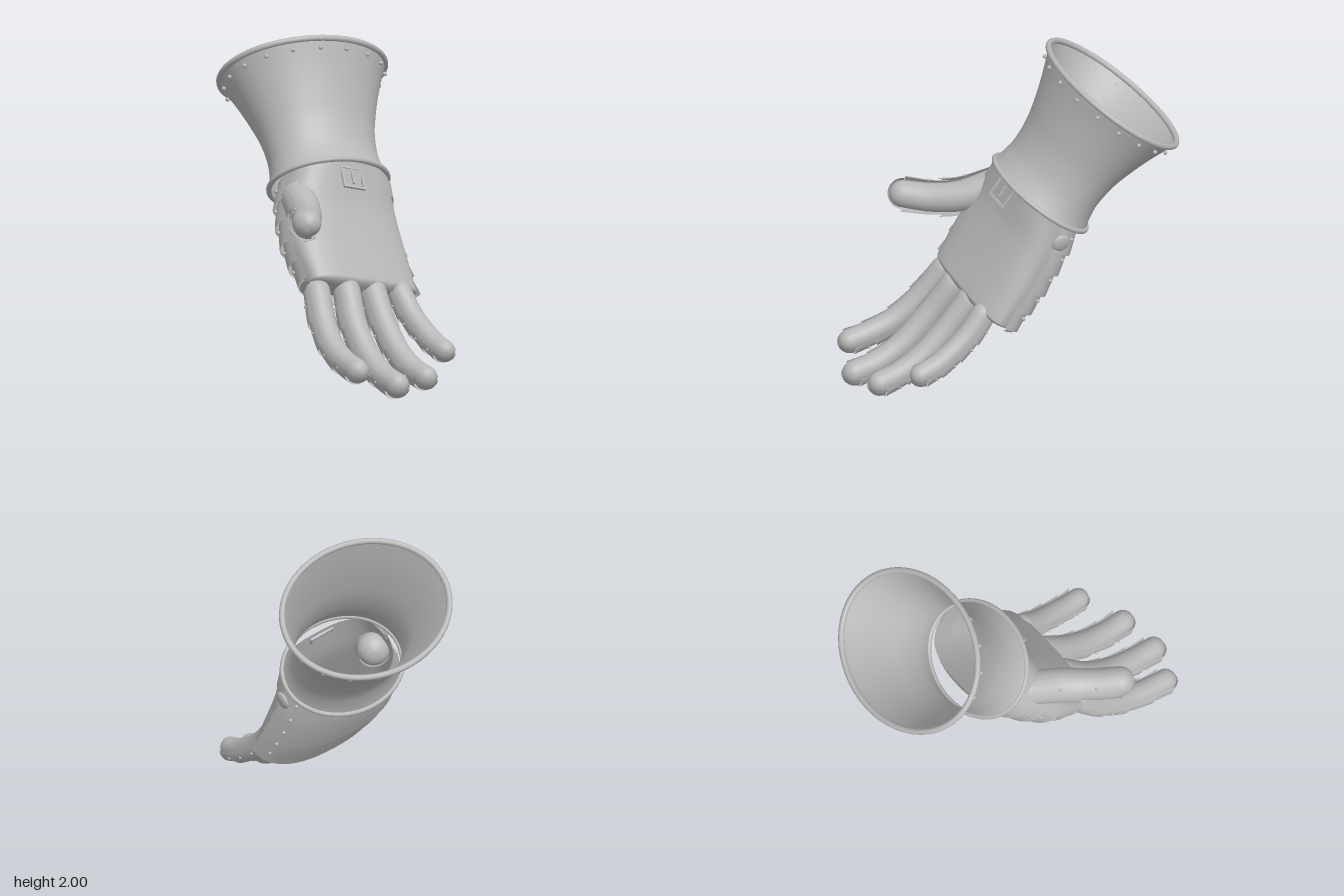
import * as THREE from 'three';

const V = (x, y, z) => new THREE.Vector3(x, y, z);
const steel = new THREE.MeshStandardMaterial({ name: 'steel', color: 0xb8b8b8, side: THREE.DoubleSide });

// Shared directions: up the forearm, out of the palm, and across the hand
const UP = V(-0.53, 0.81, -0.25).normalize();
const PALM = V(0.84, 0.545, 0).normalize();
const SIDE = V(-0.16, 0.2, 0.96).normalize();

// Smooth surface from a rule fn(u, v), both 0..1; closed joins the v ends
function surface(rows, cols, closed, fn) {
  const pos = [], idx = [], n = closed ? cols : cols + 1;
  for (let i = 0; i <= rows; i++)
    for (let j = 0; j < n; j++) pos.push(...fn(i / rows, j / cols).toArray());
  for (let i = 0; i < rows; i++)
    for (let j = 0; j < cols; j++) {
      const a = i * n + j, b = i * n + (j + 1) % n;
      idx.push(a, b, a + n, b, b + n, a + n);
    }
  const g = new THREE.BufferGeometry();
  g.setAttribute('position', new THREE.Float32BufferAttribute(pos, 3));
  g.setIndex(idx);
  g.computeVertexNormals();
  return g;
}

function add(parent, name, geometry) {
  const m = new THREE.Mesh(geometry, steel);
  m.name = name;
  parent.add(m);
  return m;
}

function rivet(parent, p, r) {
  add(parent, 'rivet', new THREE.SphereGeometry(r, 10, 8)).position.copy(p);
}

function group(parent, name) {
  const g = new THREE.Group();
  g.name = name;
  parent.add(g);
  return g;
}

// Smooth interpolation through rows of three values
function profile(rows) {
  const c = new THREE.CatmullRomCurve3(rows.map(r => V(...r)));
  return f => c.getPoint(f);
}

// Flared forearm cuff with rolled rims and a row of rivets
const WRIST = V(-0.155, 1.13, -0.03);
const cuffProfile = profile([[0, 0.375, 0.305], [0.06, 0.36, 0.285], [0.15, 0.352, 0.268], [0.3, 0.365, 0.28],
  [0.45, 0.405, 0.32], [0.6, 0.46, 0.37], [0.738, 0.523, 0.425]]);
function cuffPoint(f, v, grow = 0) {
  const s = cuffProfile(f), a = v * Math.PI * 2;
  return WRIST.clone().addScaledVector(UP, s.x)
    .addScaledVector(SIDE, (s.y + grow) * Math.cos(a))
    .addScaledVector(PALM, (s.z + grow) * Math.sin(a));
}
function buildCuff(root) {
  const g = group(root, 'cuff');
  add(g, 'cuffShell', surface(36, 64, true, (u, v) => cuffPoint(u, v)));
  for (const [name, f, r] of [['upperRim', 1, 0.018], ['wristRim', 0, 0.016]]) {
    const pts = Array.from({ length: 40 }, (_, i) => cuffPoint(f, i / 40));
    add(g, name, new THREE.TubeGeometry(new THREE.CatmullRomCurve3(pts, true), 96, r, 10, true));
  }
  for (let i = 0; i < 18; i++) rivet(g, cuffPoint(0.93, (i + 0.5) / 18, 0.011), 0.013);
}

// Hand body cross-sections, from wrist (f = 0) to knuckles (f = 1)
const handCenter = profile([[-0.13, 1.15, -0.04], [-0.03, 0.95, 0.02], [0.1, 0.75, 0.07], [0.24, 0.57, 0.1]]);
// half width, palm depth, depth of the plates on the back
const handSize = profile([[0.335, 0.22, 0.225], [0.38, 0.175, 0.22], [0.4, 0.145, 0.21], [0.385, 0.11, 0.185]]);
const soft = (x, p) => Math.sign(x) * Math.pow(Math.abs(x), p);
function handPoint(f, a, { back = false, grow = 0, shrink = 1 } = {}) {
  const s = handSize(f), p = back ? 0.85 : 0.7;
  return handCenter(f)
    .addScaledVector(SIDE, (s.x + grow) * shrink * soft(Math.cos(a), p))
    .addScaledVector(PALM, ((back ? s.z : s.y) + grow) * shrink * soft(Math.sin(a), p));
}
function buildHand(root) {
  const g = group(root, 'hand');
  // The last third of the rows rounds the palm over at the knuckles
  add(g, 'palm', surface(36, 56, true, (u, v) => {
    const q = Math.max(0, (u - 2 / 3) * 3) * Math.PI / 2;
    return handPoint(Math.min(1, u * 1.5), v * Math.PI * 2, { shrink: Math.max(Math.cos(q), 0.001) })
      .addScaledVector(UP, -0.05 * Math.sin(q));
  }));

  // Overlapping plates down the back of the hand
  const count = 5;
  for (let i = 0; i < count; i++) {
    const f0 = i / count * 0.96, f1 = Math.min(f0 + 0.24, 1);
    add(g, 'backPlate', surface(5, 36, false, (u, v) =>
      handPoint(f0 + (f1 - f0) * u, Math.PI * (0.98 + 1.04 * v), { back: true, grow: 0.008 + 0.03 * u })));
    for (const a of [1.1, 1.9])
      rivet(g, handPoint(f0 + 0.1, Math.PI * a, { back: true, grow: 0.026 }), 0.012);
  }
  // Rolled knuckle plate
  add(g, 'knucklePlate', surface(8, 36, false, (u, v) =>
    handPoint(1, Math.PI * (1 + v), { back: true, grow: 0.03 - 0.04 * u * u }).addScaledVector(UP, -0.03 * u)));

  // Wrist strap and buckle across the palm side
  add(g, 'strap', surface(3, 40, false, (u, v) =>
    handPoint(0.07 + 0.13 * u, Math.PI * (-0.04 + 1.08 * v), { grow: 0.009 })));
  const buckle = group(g, 'buckle');
  const rect = (w, h) => [[-w, -h], [w, -h], [w, h], [-w, h]].map(p => new THREE.Vector2(...p));
  const frame = new THREE.Shape(rect(0.08, 0.07));
  frame.holes.push(new THREE.Path(rect(0.067, 0.057)));
  add(buckle, 'buckleFrame', new THREE.ExtrudeGeometry(frame, { depth: 0.014, bevelEnabled: false }));
  add(buckle, 'bucklePin', new THREE.BoxGeometry(0.012, 0.1, 0.012)).position.set(0, 0.012, 0.01);
  buckle.position.copy(handPoint(0.135, Math.PI * 0.49, { grow: 0.008 }));
  const across = SIDE.clone().negate();
  const up = V(0, 0, 0).crossVectors(PALM, across).normalize();
  across.crossVectors(up, PALM);
  buckle.setRotationFromMatrix(new THREE.Matrix4().makeBasis(across, up, PALM));

  // Domed boss on the outer side of the strap
  const boss = add(g, 'strapBoss', new THREE.SphereGeometry(0.055, 20, 10));
  boss.position.copy(handPoint(0.15, Math.PI, { grow: 0.035 }));
  boss.scale.set(1, 1, 0.35);
  boss.quaternion.setFromUnitVectors(V(0, 0, 1), SIDE);
}

// A digit: a round-ended tapering tube with overlapping half plates on its back
function buildDigit(root, name, points, r, taper, backDir, plates) {
  const g = group(root, name);
  const curve = new THREE.CatmullRomCurve3(points.map(p => V(...p)));
  const length = curve.getLength();
  const ring = (u, a, scale) => {
    const c = THREE.MathUtils.clamp(u, 0, 1), t = curve.getTangentAt(c);
    const b = backDir.clone().addScaledVector(t, -backDir.dot(t)).normalize();
    const s = V(0, 0, 0).crossVectors(t, b);
    const rad = r * (1 + taper * (1 - c)) * scale;
    return curve.getPointAt(c).addScaledVector(t, (u - c) * length)
      .addScaledVector(b, rad * Math.cos(a)).addScaledVector(s, rad * Math.sin(a));
  };
  const cap = r / length;
  add(g, 'tube', surface(44, 24, true, (u, v) => {
    // the first and last eighths are the round ends
    const e = u < 0.125 ? 1 - u / 0.125 : u > 0.875 ? (u - 0.875) / 0.125 : 0;
    const q = e * Math.PI / 2;
    const along = u < 0.125 ? -cap * Math.sin(q) : u > 0.875 ? 1 + cap * Math.sin(q) : (u - 0.125) / 0.75;
    return ring(along, v * Math.PI * 2, Math.max(Math.cos(q), 0.005));
  }));
  for (let k = 0; k < plates; k++) {
    const last = k === plates - 1;
    const u0 = k / plates, u1 = last ? 1 : u0 + 1.18 / plates;
    add(g, 'plate', surface(5, 20, false, (u, v) => {
      const w = 2 * v - 1;
      return ring(u0 + (u1 - u0) * u + (last ? 0 : 0.04 * u * w * w), w * 1.75, 1.12 + 0.2 * u);
    }));
    for (const a of [-1.15, 1.15]) rivet(g, ring((u0 + u1) / 2, a, 1.23), 0.009);
  }
  // Rounded plate over the back of the tip
  add(g, 'tipPlate', surface(8, 20, false, (u, v) => {
    const q = u * Math.PI / 2;
    return ring(1 + cap * 1.1 * Math.sin(q), (2 * v - 1) * 1.5, Math.max(1.15 * Math.cos(q), 0.005));
  }));
}

export function createModel() {
  const root = new THREE.Group();
  root.name = 'gauntlet';
  buildCuff(root);
  buildHand(root);

  const back = PALM.clone().negate();
  buildDigit(root, 'indexFinger', [[0.2, 0.58, 0.43], [0.32, 0.41, 0.5], [0.46, 0.28, 0.56], [0.61, 0.215, 0.61], [0.735, 0.185, 0.645]], 0.066, 0.12, back, 4);
  buildDigit(root, 'middleFinger', [[0.27, 0.57, 0.25], [0.4, 0.38, 0.32], [0.57, 0.21, 0.37], [0.73, 0.125, 0.41], [0.86, 0.093, 0.44]], 0.069, 0.1, back, 4);
  buildDigit(root, 'ringFinger', [[0.3, 0.55, 0.06], [0.44, 0.37, 0.11], [0.6, 0.22, 0.15], [0.74, 0.145, 0.18], [0.86, 0.115, 0.2]], 0.067, 0.1, back, 4);
  buildDigit(root, 'littleFinger', [[0.34, 0.53, -0.12], [0.45, 0.41, -0.105], [0.57, 0.32, -0.09], [0.67, 0.265, -0.075], [0.76, 0.235, -0.06]], 0.062, 0.1, back, 4);
  buildDigit(root, 'thumb', [[-0.08, 1.09, 0.29], [0.09, 1.02, 0.41], [0.21, 1.0, 0.53], [0.335, 1.015, 0.65]], 0.08, 0.22, V(-0.65, -0.3, 0.7).normalize(), 2);
  return root;
}
